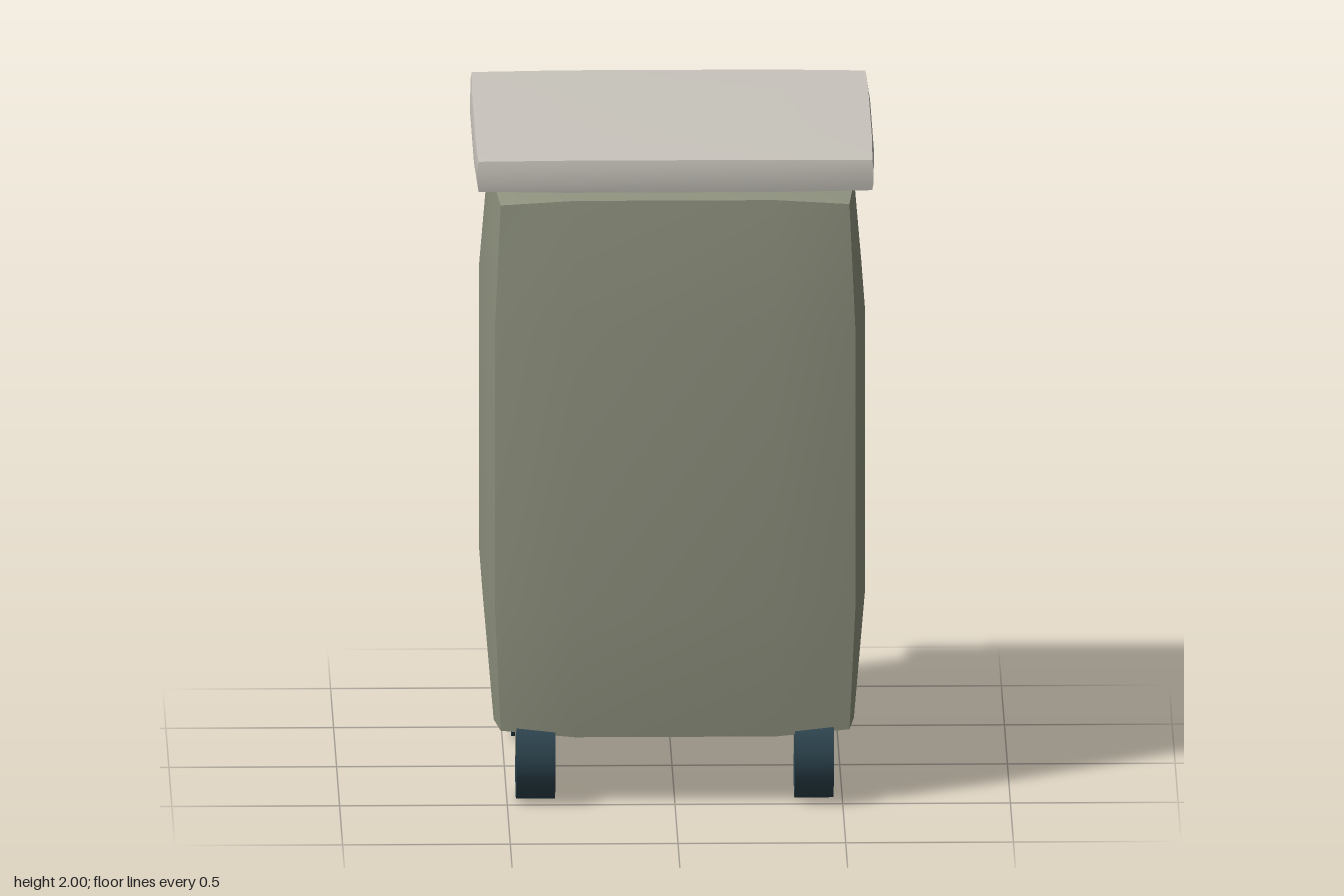
import * as THREE from 'three';

// Box of 3 x 3 x 3 cells whose faces and edges swell outward.
// half: half size at the corners, cut: half position of the inner grid lines,
// swell(d, n): how far axis d moves out when n of the other axes are at inner lines.
function swollenBox(half, cut, swell) {
  const g = new THREE.BoxGeometry(2, 2, 2, 3, 3, 3);
  const p = g.attributes.position;
  for (let i = 0; i < p.count; i++) {
    const v = [p.getX(i), p.getY(i), p.getZ(i)];
    const inner = v.map((c) => Math.abs(c) < 0.9);
    const total = inner.filter(Boolean).length;
    const out = v.map((c, d) =>
      Math.sign(c) * (inner[d] ? cut[d] : half[d] + swell(d, total)));
    p.setXYZ(i, ...out);
  }
  g.computeVertexNormals();
  return g;
}

export function createModel() {
  const model = new THREE.Group();
  const olive = new THREE.MeshStandardMaterial({ name: 'olive body', color: 0x8f937f });
  const stone = new THREE.MeshStandardMaterial({ name: 'stone lid', color: 0xc9c5bd });
  const slate = new THREE.MeshStandardMaterial({ name: 'slate wheel', color: 0x2f4651 });
  const putty = new THREE.MeshStandardMaterial({ name: 'putty bracket', color: 0xa19f8f });

  const add = (name, geometry, material, parent, x = 0, y = 0, z = 0) => {
    const mesh = new THREE.Mesh(geometry, material);
    mesh.name = name;
    mesh.position.set(x, y, z);
    parent.add(mesh);
    return mesh;
  };

  // Bulging bin body
  const bodySwell = [0, 0.017, 0.05];
  add('body', swollenBox([0.52, 0.805, 0.508], [0.3, 0.435, 0.29],
    (d, n) => bodySwell[n]), olive, model, 0, 1.037, 0);

  // Slightly domed lid
  const lidSwell = [0, 0.004, 0.009];
  add('lid', swollenBox([0.587, 0.046, 0.574], [0.32, 0.02, 0.31],
    (d, n) => lidSwell[n] * (d === 1 ? 0.8 : 1)), stone, model, 0, 1.946, 0);

  // Four casters: wheel across x, with a narrow bracket showing on both sides
  const wheelGeo = new THREE.CylinderGeometry(0.146, 0.146, 0.116, 32).rotateZ(Math.PI / 2);
  const bracketGeo = new THREE.BoxGeometry(0.12, 0.13, 0.02);
  for (const sx of [-1, 1]) {
    for (const sz of [-1, 1]) {
      const caster = new THREE.Group();
      caster.name = (sz > 0 ? 'front' : 'back') + (sx > 0 ? 'Left' : 'Right') + 'Caster';
      caster.position.set(sx * 0.415, 0.148, sz * 0.4);
      add('wheel', wheelGeo, slate, caster);
      add('bracket', bracketGeo, putty, caster, 0, 0.05, 0);
      model.add(caster);
    }
  }
  return model;
}
